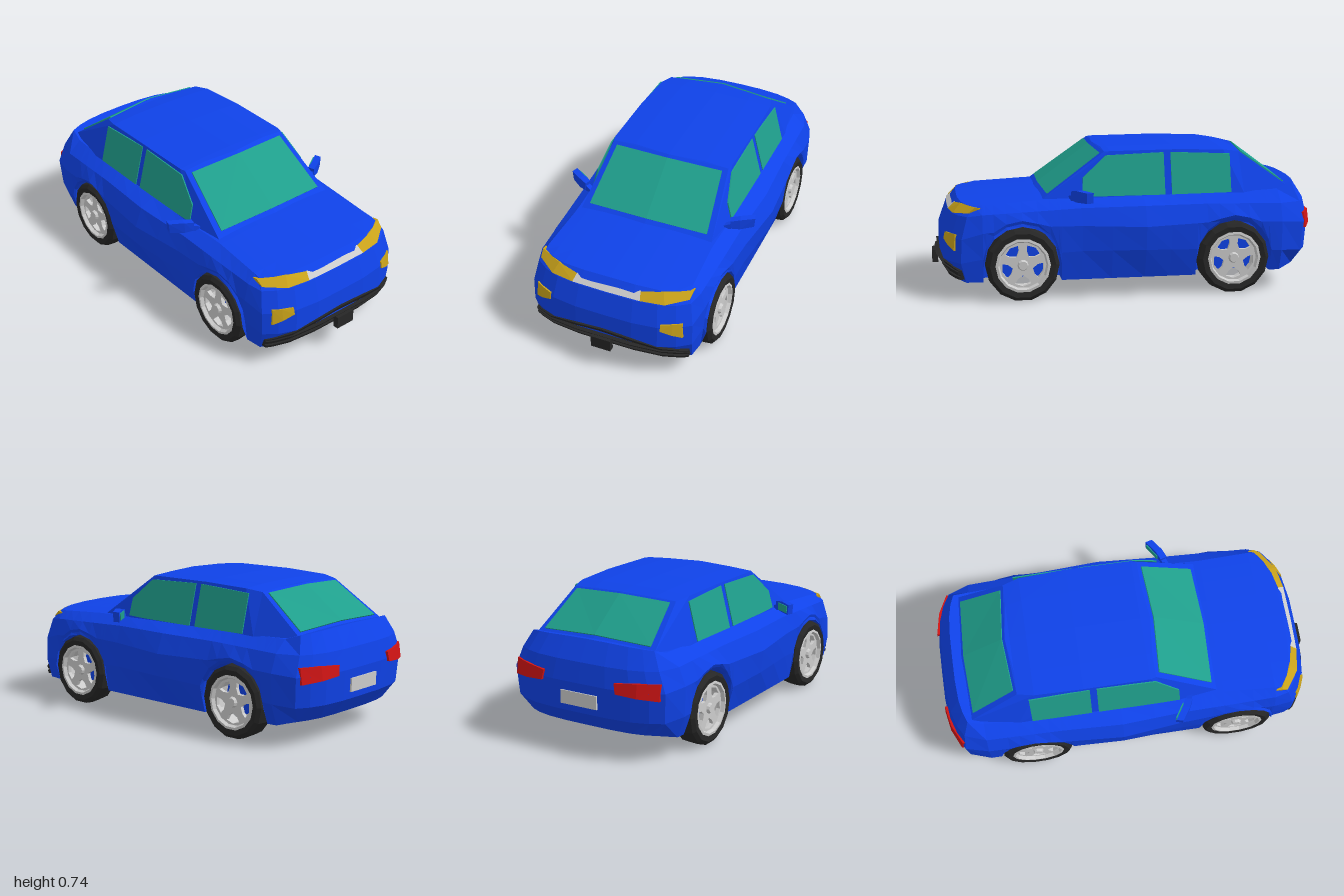
import * as THREE from 'three';

const mat = (color) => new THREE.MeshStandardMaterial({ color, flatShading: true, side: THREE.DoubleSide });
const BLUE = mat(0x0f42e8), GLASS = mat(0x1f9f8c), DARK = mat(0x262626), AMBER = mat(0xc9a21a);
const RED = mat(0xd01414), GREY = mat(0xcccccc);
const lerp = (a, b, t) => a + (b - a) * t;
const mix = (p, q, t) => p.map((v, i) => lerp(v, q[i], t));
const flip = ([x, y, z]) => [-x, y, z];

function add(parent, name, geo, material) {
  const m = new THREE.Mesh(geo, material);
  m.name = name;
  parent.add(m);
  return m;
}

// Surface through rows of points, each row the same length
function grid(rows) {
  const n = rows[0].length, idx = [];
  for (let i = 0; i < rows.length - 1; i++)
    for (let j = 0; j < n - 1; j++) {
      const a = i * n + j, c = a + n;
      idx.push(a, a + 1, c + 1, a, c + 1, c);
    }
  const g = new THREE.BufferGeometry();
  g.setAttribute('position', new THREE.Float32BufferAttribute(rows.flat(2), 3));
  g.setIndex(idx);
  const out = g.toNonIndexed();
  out.computeVertexNormals();
  return out;
}

// Thin slab between a lower and an upper polyline, thickened by d
function slab(low, high, d) {
  const back = (r) => r.map((p) => p.map((v, i) => v + d[i]));
  const ring = [low, high, back(high), back(low), low];
  const rows = ring.map((r) => [ring[0] === r ? low[0] : r[0], ...r, r[r.length - 1]]);
  const a = mix(low[0], high[0], 0.5), b = mix(low[low.length - 1], high[high.length - 1], 0.5);
  const half = d.map((v) => v / 2);
  rows.forEach((r) => {
    r[0] = a.map((v, i) => v + half[i]);
    r[r.length - 1] = b.map((v, i) => v + half[i]);
  });
  return grid(rows);
}

// Half sections of the lower body, sill to top edge: [x, y] per point
const KEYS = [
  [-0.78, [0.43, 0.11], [0.47, 0.22], [0.475, 0.37], [0.44, 0.46], [0.37, 0.52]],
  [-0.4, [0.44, 0.1], [0.475, 0.24], [0.485, 0.38], [0.45, 0.47], [0.385, 0.515]],
  [-0.07, [0.44, 0.1], [0.49, 0.25], [0.505, 0.37], [0.465, 0.47], [0.39, 0.51]],
  [0.25, [0.44, 0.1], [0.465, 0.25], [0.475, 0.38], [0.445, 0.465], [0.385, 0.505]],
  [0.45, [0.44, 0.1], [0.46, 0.24], [0.465, 0.38], [0.44, 0.455], [0.375, 0.5]],
  [0.76, [0.43, 0.1], [0.445, 0.22], [0.45, 0.35], [0.43, 0.44], [0.39, 0.482]],
];
// Ends: [x, y, z at corner, bulge in z at the middle]
const FRONT = [[0.42, 0.1, 0.83, 0.06], [0.43, 0.2, 0.855, 0.1], [0.43, 0.32, 0.85, 0.1], [0.41, 0.43, 0.82, 0.09], [0.39, 0.475, 0.78, 0.08]];
const REAR = [[0.37, 0.13, -0.86, -0.05], [0.43, 0.21, -0.89, -0.08], [0.44, 0.36, -0.9, -0.08], [0.4, 0.46, -0.89, -0.07], [0.355, 0.545, -0.86, -0.04]];
const WHEEL_Z = [0.55, -0.53], ARCH = 0.195, AXLE_Y = 0.187;
const US = [-1, -0.85, -0.65, -0.35, 0, 0.35, 0.65, 0.85, 1];

const across = ([x, y, z, bow = 0], crown = 0) =>
  US.map((u) => [x * u, y + crown * (1 - u * u), z + bow * (1 - u ** 4)]);

// Point on an end surface at a given x and y
function onEnd(rows, x, y, off) {
  let i = 0;
  while (i < 3 && y > rows[i + 1][1]) i++;
  const t = Math.min(1, Math.max(0, (y - rows[i][1]) / (rows[i + 1][1] - rows[i][1])));
  const [ex, , ez, bow] = mix(rows[i], rows[i + 1], t);
  const u = Math.min(1, Math.abs(x) / ex);
  return [x, y, ez + bow * (1 - u ** 4) + off];
}

function section(z, arch) {
  let i = 0;
  while (i < KEYS.length - 2 && z > KEYS[i + 1][0]) i++;
  const [a, b] = [KEYS[i], KEYS[i + 1]], t = (z - a[0]) / (b[0] - a[0]);
  const pts = [1, 2, 3, 4, 5].map((k) => [...mix(a[k], b[k], t), z]);
  if (arch) {
    pts[0] = [Math.max(pts[0][0], 0.46), arch, z];
    pts[1][1] = Math.max(pts[1][1], arch + 0.015);
    pts[2][1] = Math.max(pts[2][1], arch + 0.03);
  }
  return [[0.33, Math.min(pts[0][1], 0.1), z], [0.33, pts[0][1], z], ...pts];
}

function buildBody(car) {
  const cuts = [-0.78, -0.2, -0.07, 0.1, 0.25].map((z) => [z, 0]);
  for (const wz of WHEEL_Z)
    for (const s of [-1, 1]) {
      cuts.push([wz + s * (ARCH + 0.001), 0]);
      for (const f of [1, 0.92, 0.72, 0.4]) cuts.push([wz + s * f * ARCH, AXLE_Y + ARCH * Math.sqrt(1 - f * f)]);
    }
  for (const wz of WHEEL_Z) cuts.push([wz, AXLE_Y + ARCH]);
  cuts.sort((a, b) => a[0] - b[0]);
  const end = (rows) => [rows[0], rows[0], ...rows];
  const stations = [end(REAR), ...cuts.map((c) => section(...c)), end(FRONT)];
  const xyz = (p) => p.slice(0, 3);
  const ring = (s) => {
    const side = s.slice(1, 6).map(xyz);
    const bottom = across(s[0]);
    return [...bottom, ...side, ...across(s[6], 0.015).reverse(), ...side.map(flip).reverse(), bottom[0]];
  };
  add(car, 'lowerBody', grid(stations.map(ring)), BLUE);
  const cap = (rows) => rows.map((r, i) => across(r, i === 4 ? 0.015 : 0));
  add(car, 'frontFace', grid(cap(FRONT)), BLUE);
  add(car, 'rearFace', grid(cap(REAR).reverse()), BLUE);
}

function buildCabin(car) {
  // Matching base and roof points, from the front middle round to the rear middle
  const base = [[0, 0.51, 0.455], [0.36, 0.5, 0.44], [0.388, 0.5, 0.24], [0.39, 0.5, -0.3], [0.388, 0.505, -0.6], [0.345, 0.53, -0.845], [0, 0.545, -0.86]];
  const roof = [[0, 0.742, 0.14], [0.32, 0.73, 0.12], [0.328, 0.732, 0.09], [0.33, 0.735, -0.25], [0.322, 0.727, -0.5], [0.3, 0.715, -0.585], [0, 0.73, -0.61]];
  const loop = (h) => [...h, ...h.slice(1, -1).reverse().map(flip), h[0]];
  const inset = (f, dy) => roof.map(([x, y, z], i) => [x * f, i % 6 ? y + dy : y, z]);
  add(car, 'cabin', grid([base, roof, inset(0.6, 0.009), inset(0, 0.013)].map(loop)), BLUE);

  // Windscreen and rear window follow the cabin faces
  const pane = (name, mid, corner, d) => {
    const row = (t) => {
      const c = mix(base[mid], roof[mid], t), e = mix(base[corner], roof[corner], t), q = mix(c, e, 0.91);
      return [flip(q), c, q].map((p) => [p[0], p[1] + d[1], p[2] + d[2]]);
    };
    add(car, name, slab(row(0.09), row(0.95), [0, -d[1], -d[2]]), GLASS);
  };
  pane('windscreen', 0, 1, [0, 0.004, 0.004]);
  pane('rearWindow', 6, 5, [0, 0.005, -0.004]);

  // Side windows
  for (const s of [1, -1]) {
    const p = (z, y) => [s * (lerp(0.39, 0.33, (y - 0.5) / 0.235) + 0.004), y, z];
    const d = [-s * 0.006, 0, 0];
    add(car, 'frontSideWindow', slab([p(0.24, 0.515), p(0.13, 0.512), p(-0.185, 0.512)], [p(0.235, 0.605), p(0.115, 0.712), p(-0.185, 0.722)], d), GLASS);
    add(car, 'rearSideWindow', slab([p(-0.22, 0.512), p(-0.53, 0.515)], [p(-0.22, 0.722), p(-0.53, 0.708)], d), GLASS);
  }
}

function buildTrim(car) {
  const f = (x, y, o = 0.008) => onEnd(FRONT, x, y, o);
  const r = (x, y) => onEnd(REAR, x, y, -0.012);
  const wide = (half) => [...half.slice(1).reverse().map(flip), ...half];
  const back = [0, -0.005, -0.03];
  for (const s of [1, -1]) {
    const m = (pts) => pts.map(([x, y, z]) => [s * x, y, z]);
    add(car, 'headlight', slab(m([f(0.18, 0.437), f(0.3, 0.435), f(0.4, 0.447)]), m([f(0.17, 0.468), f(0.28, 0.48), f(0.405, 0.476, 0)]), back), AMBER);
    add(car, 'fogLight', slab(m([f(0.295, 0.305), f(0.35, 0.28), f(0.395, 0.26)]), m([f(0.295, 0.34), f(0.35, 0.342), f(0.39, 0.342)]), back), AMBER);
    add(car, 'tailLight', slab(m([r(0.215, 0.345), r(0.32, 0.335), r(0.42, 0.325)]), m([r(0.205, 0.395), r(0.32, 0.405), r(0.42, 0.405)]), [0, 0, 0.03]), RED);
    // Door mirror: arm, housing and glass
    add(car, 'mirrorArm', slab(m([[0.37, 0.49, 0.31], [0.43, 0.5, 0.285]]), m([[0.37, 0.515, 0.31], [0.43, 0.535, 0.285]]), [0, 0, -0.03]), BLUE);
    add(car, 'mirrorHousing', slab(m([[0.41, 0.502, 0.3], [0.45, 0.495, 0.28], [0.51, 0.497, 0.235]]), m([[0.405, 0.545, 0.3], [0.45, 0.553, 0.28], [0.515, 0.55, 0.235]]), [-s * 0.01, 0, -0.035]), BLUE);
    add(car, 'mirrorGlass', slab(m([[0.418, 0.505, 0.253], [0.492, 0.505, 0.206]]), m([[0.418, 0.543, 0.253], [0.492, 0.543, 0.206]]), [0, 0, -0.006]), GLASS);
  }
  add(car, 'frontStrip', slab(wide([f(0, 0.437), f(0.18, 0.437)]), wide([f(0, 0.474), f(0.17, 0.47)]), back), GREY);

  // Dark front grille with two projecting slats and a number plate
  const xs = [0, 0.15, 0.3, 0.38, 0.415];
  const bar = (name, lo, hi, o) => add(car, name, slab(
    wide(xs.map((x) => f(x, lo(x), o))), wide(xs.map((x) => f(x, hi(x), o))), [0, 0, -0.05]), DARK);
  const arc = (a, b) => (x) => lerp(a, b, (x / 0.415) ** 2);
  bar('grille', arc(0.125, 0.115), arc(0.233, 0.16), 0.012);
  bar('upperSlat', arc(0.185, 0.14), arc(0.2, 0.155), 0.022);
  bar('lowerSlat', arc(0.12, 0.115), arc(0.145, 0.13), 0.026);
  add(car, 'frontPlate', new THREE.BoxGeometry(0.105, 0.065, 0.03), DARK).position.set(0, 0.16, 0.975);
  add(car, 'rearPlate', new THREE.BoxGeometry(0.21, 0.068, 0.02), GREY).position.set(0, 0.28, -0.973);
}

// Wheel with its axis on x and its outer side towards +x
function makeWheel() {
  const wheel = new THREE.Group();
  const lathe = (pts) => new THREE.LatheGeometry(pts.map((p) => new THREE.Vector2(...p)), 14).rotateZ(-Math.PI / 2);
  add(wheel, 'tyre', lathe([[0.13, -0.055], [0.165, -0.06], [0.183, -0.045], [0.187, 0], [0.183, 0.045], [0.165, 0.06], [0.135, 0.054], [0.13, -0.055]]), DARK);
  add(wheel, 'rim', lathe([[0.118, -0.05], [0.115, 0.035], [0.125, 0.058], [0.138, 0.056]]), GREY);
  const disc = new THREE.Shape().absarc(0, 0, 0.12, 0, Math.PI * 2);
  for (let i = 0; i < 5; i++) {
    const a = (i / 5) * Math.PI * 2 + Math.PI / 2 + Math.PI / 5;
    const pt = ([rad, da]) => new THREE.Vector2(Math.cos(a + da) * rad, Math.sin(a + da) * rad);
    disc.holes.push(new THREE.Path([[0.052, 0], [0.075, 0.36], [0.102, 0.4], [0.108, 0], [0.102, -0.4], [0.075, -0.36]].map(pt)));
  }
  const spokes = new THREE.ExtrudeGeometry(disc, { depth: 0.02, bevelEnabled: false, curveSegments: 10 });
  add(wheel, 'spokes', spokes.rotateY(Math.PI / 2).translate(0.02, 0, 0), GREY);
  add(wheel, 'hub', new THREE.CylinderGeometry(0.022, 0.03, 0.02, 10).rotateZ(-Math.PI / 2).translate(0.045, 0, 0), GREY);
  return wheel;
}

export function createModel() {
  const car = new THREE.Group();
  car.name = 'car';
  buildBody(car);
  buildCabin(car);
  buildTrim(car);
  for (const z of WHEEL_Z)
    for (const s of [1, -1]) {
      const wheel = makeWheel();
      wheel.name = z > 0 ? 'frontWheel' : 'rearWheel';
      wheel.position.set(s * 0.415, AXLE_Y, z);
      if (s < 0) wheel.rotation.y = Math.PI;
      car.add(wheel);
    }
  return car;
}
